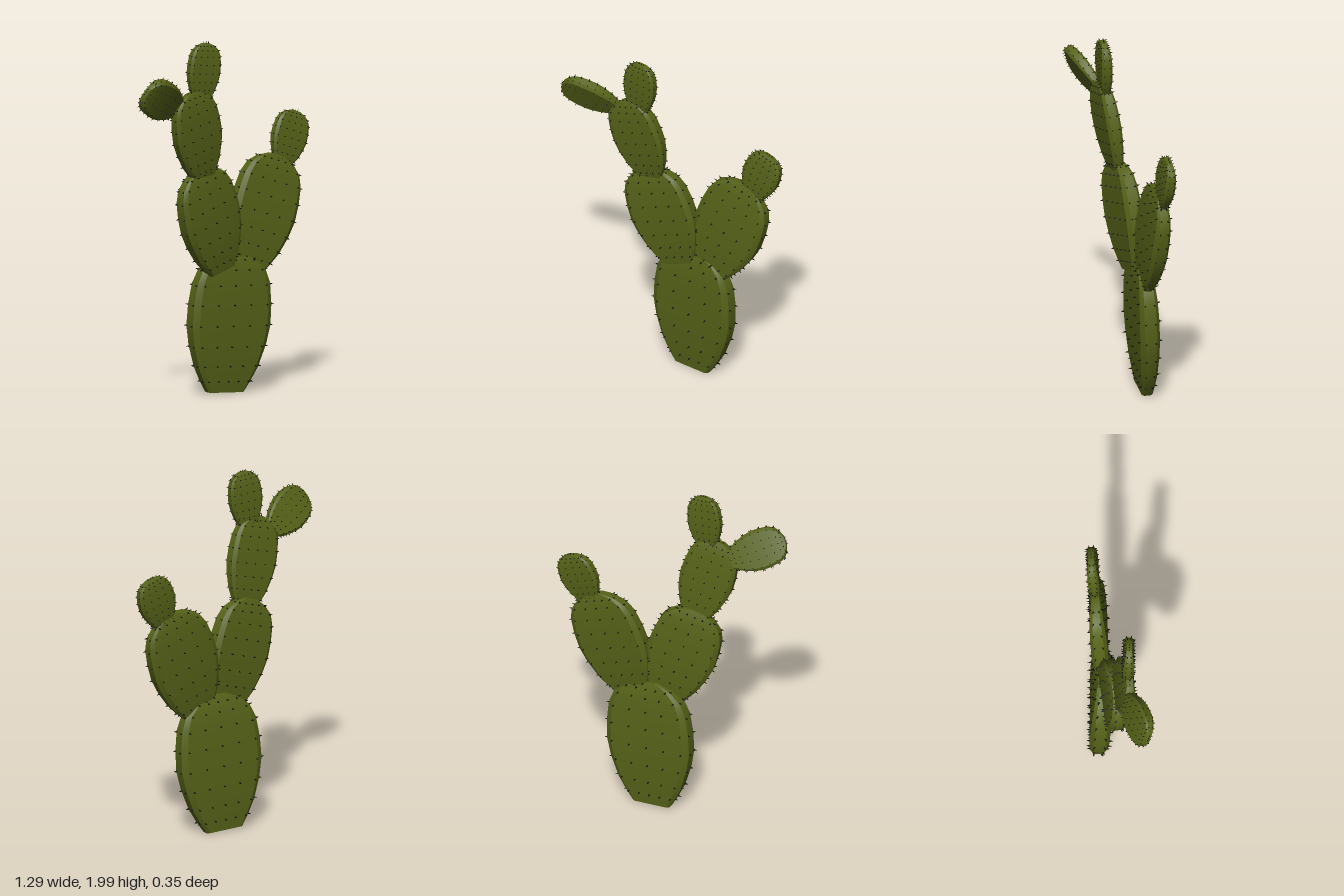
import * as THREE from 'three';
import { mergeGeometries, toCreasedNormals } from 'three/addons/utils/BufferGeometryUtils.js';

// Outline of every pad: [height along axis, half width, half thickness], all relative
const PROFILE = [
  [0, 0.45, 0.55], [0.08, 0.6, 0.68], [0.18, 0.76, 0.82], [0.34, 0.92, 0.95], [0.48, 1, 1],
  [0.63, 0.99, 1], [0.78, 0.93, 0.93], [0.88, 0.8, 0.82], [0.95, 0.56, 0.66], [1, 0.22, 0.45],
];
// Flat oval cross-section with bevelled rims
const SECTION = [
  [1, 0.62], [0.87, 1], [-0.87, 1], [-1, 0.62], [-1, -0.62], [-0.87, -1], [0.87, -1], [1, -0.62],
];

function sample(t) {
  let i = 0;
  while (i < PROFILE.length - 2 && PROFILE[i + 1][0] < t) i++;
  const [a, b] = [PROFILE[i], PROFILE[i + 1]];
  const k = (t - a[0]) / (b[0] - a[0]);
  return [a[1] + (b[1] - a[1]) * k, a[2] + (b[2] - a[2]) * k];
}

// Body: rings of the cross-section lofted along y, closed at both ends
function padGeometry(length, width, depth) {
  const pos = [], index = [], n = SECTION.length, last = PROFILE.length - 1;
  for (const [t, w, d] of PROFILE)
    for (const [u, v] of SECTION) pos.push(u * w * width, t * length, v * d * depth);
  const bottom = pos.length / 3, top = bottom + 1;
  pos.push(0, 0, 0, 0, length, 0);
  for (let j = 0; j < n; j++) {
    const k = (j + 1) % n;
    for (let i = 0; i < last; i++) {
      const a = i * n + j, d = i * n + k;
      index.push(a, a + n, d, a + n, d + n, d);
    }
    index.push(bottom, j, k, top, last * n + k, last * n + j);
  }
  const geo = new THREE.BufferGeometry();
  geo.setAttribute('position', new THREE.Float32BufferAttribute(pos, 3));
  geo.setIndex(index);
  return toCreasedNormals(geo, 0.45);
}

// Spines: rows of tiny cones over both faces and around the rim
function spineGeometry(length, width, depth, size) {
  const cones = [], up = new THREE.Vector3(0, 1, 0);
  const add = (x, y, z, nx, ny, nz) => {
    const cone = new THREE.ConeGeometry(0.3 * size, size, 4);
    cone.translate(0, size * 0.3, 0);
    const dir = new THREE.Vector3(nx, ny, nz).normalize();
    cone.applyQuaternion(new THREE.Quaternion().setFromUnitVectors(up, dir));
    cones.push(cone.translate(x, y, z));
  };
  for (const t of [0.08, 0.19, 0.33, 0.48, 0.63, 0.77, 0.88, 0.95]) {
    const [w, d] = sample(t);
    const slope = (t - 0.5) * 0.8, y = t * length;
    for (const s of [-1, 1]) {
      for (const u of [-0.84, -0.42, 0, 0.42, 0.84])
        add(u * w * width, y, s * d * depth, 0, slope * 0.2, s);
      for (const v of [-0.5, 0.5])
        add(s * w * width, y, v * d * depth, s, slope, v * 0.5);
    }
  }
  for (const u of [-0.15, 0, 0.15]) add(u * width, length, 0, u, 1, 0);
  return mergeGeometries(cones);
}

// name, base, tip, facing direction, half width, half thickness, spine length
const PADS = [
  ['trunkPad', [0.10, 0.015, -0.04], [0.125, 0.79, 0.0], [-0.39, 0, 0.92], 0.25, 0.055, 0.024],
  ['leftArmPad', [0.22, 0.70, 0.04], [0.425, 1.305, 0.08], [-0.36, 0, 0.93], 0.205, 0.046, 0.021],
  ['leftTipPad', [0.46, 1.25, 0.095], [0.558, 1.535, 0.11], [-0.36, 0, 0.93], 0.11, 0.03, 0.015],
  ['rightArmPad', [0.03, 0.70, -0.01], [-0.15, 1.28, -0.03], [-0.24, 0, 0.97], 0.195, 0.05, 0.021],
  ['rightUpperPad', [-0.13, 1.235, -0.015], [-0.265, 1.72, 0.0], [-0.3, 0, 0.95], 0.152, 0.04, 0.018],
  ['rightTopPad', [-0.195, 1.67, 0.015], [-0.175, 1.99, 0.035], [-0.38, 0, 0.92], 0.098, 0.03, 0.015],
  ['rightSidePad', [-0.33, 1.635, -0.05], [-0.63, 1.765, -0.04], [-0.21, -0.4, 0.9], 0.112, 0.032, 0.015],
];

export function createModel() {
  const model = new THREE.Group();
  model.name = 'cactus';
  const skin = new THREE.MeshStandardMaterial({ color: 0x566218 });
  const thorn = new THREE.MeshStandardMaterial({ color: 0x0d0f0a });

  for (const [name, from, to, facing, width, depth, spine] of PADS) {
    const base = new THREE.Vector3(...from);
    const axis = new THREE.Vector3(...to).sub(base);
    const length = axis.length();
    axis.normalize();
    const across = new THREE.Vector3().crossVectors(axis, new THREE.Vector3(...facing)).normalize();
    const normal = new THREE.Vector3().crossVectors(across, axis);

    const pad = new THREE.Group();
    pad.name = name;
    const body = new THREE.Mesh(padGeometry(length, width, depth), skin);
    body.name = name + 'Body';
    const spines = new THREE.Mesh(spineGeometry(length, width, depth, spine), thorn);
    spines.name = name + 'Spines';
    pad.add(body, spines);
    pad.quaternion.setFromRotationMatrix(new THREE.Matrix4().makeBasis(across, axis, normal));
    pad.position.copy(base);
    model.add(pad);
  }
  return model;
}
